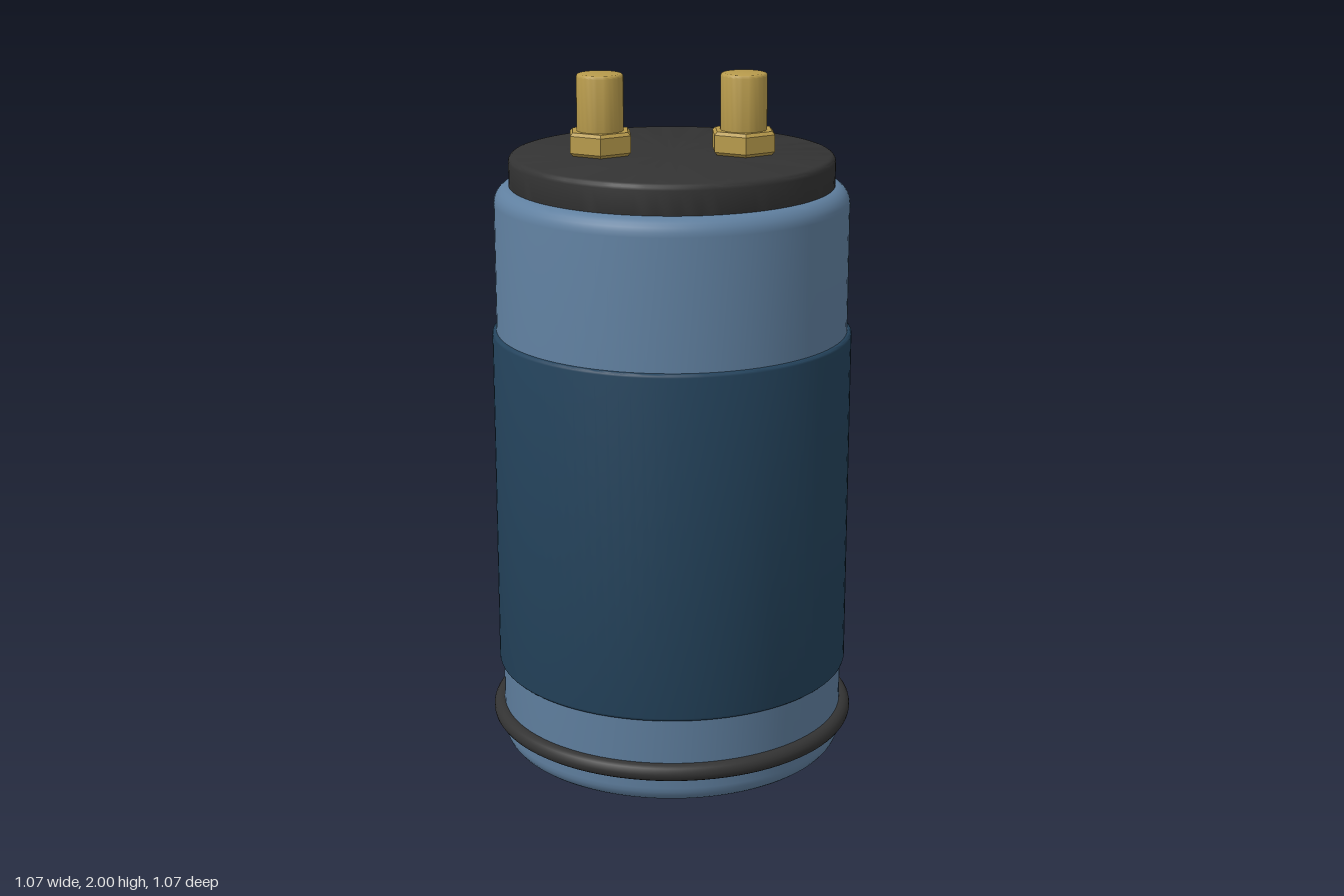
import * as THREE from 'three';
import { toCreasedNormals } from 'three/addons/utils/BufferGeometryUtils.js';

const material = (name, color) => {
  const m = new THREE.MeshStandardMaterial({ color });
  m.name = name;
  return m;
};

// Closed turned solid from y0 to y1 with rounded rims; few sides give a prism
function turned(radius, y0, y1, round, sides = 96, steps = 6, crease = 0.6) {
  const points = [new THREE.Vector2(0, y0)];
  for (let i = 0; i <= steps; i++) {
    const a = (i / steps) * Math.PI / 2;
    points.push(new THREE.Vector2(radius - round + round * Math.sin(a), y0 + round - round * Math.cos(a)));
  }
  for (let i = 0; i <= steps; i++) {
    const a = (i / steps) * Math.PI / 2;
    points.push(new THREE.Vector2(radius - round + round * Math.cos(a), y1 - round + round * Math.sin(a)));
  }
  points.push(new THREE.Vector2(0, y1));
  return toCreasedNormals(new THREE.LatheGeometry(points, sides), crease);
}

export function createModel() {
  const group = new THREE.Group();
  group.name = 'capacitor';

  const blue = material('can blue', 0x6080a0);
  const navy = material('sleeve navy', 0x24435c);
  const black = material('rubber black', 0x333333);
  const brass = material('brass', 0xb89b4c);

  const add = (name, geometry, mat, parent = group) => {
    const mesh = new THREE.Mesh(geometry, mat);
    mesh.name = name;
    parent.add(mesh);
    return mesh;
  };

  // Can, label sleeve and insulating lid
  add('can', turned(0.505, 0.005, 1.69, 0.05), blue);
  add('sleeve', turned(0.517, 0.26, 1.27, 0.01, 96, 3), navy);
  add('lid', turned(0.462, 1.66, 1.775, 0.018, 96, 4), black);

  // Rubber ring around the foot
  const ring = add('footRing', new THREE.TorusGeometry(0.512, 0.025, 16, 96), black);
  ring.rotation.x = Math.PI / 2;
  ring.position.y = 0.105;

  // Two terminals: chamfered hex nut and round stud
  for (const side of [-1, 1]) {
    const terminal = new THREE.Group();
    terminal.name = side > 0 ? 'leftTerminal' : 'rightTerminal';
    terminal.position.x = side * 0.202;
    add('nut', turned(0.098, 1.775, 1.841, 0.009, 6, 1, 0.3), brass, terminal);
    add('stud', turned(0.066, 1.78, 2.0, 0.008, 48, 3), brass, terminal);
    group.add(terminal);
  }

  // Base of the can rests on the ground
  group.getObjectByName('can').position.y = -0.005;
  group.getObjectByName('can').scale.y = 1.69 / 1.685;
  return group;
}
